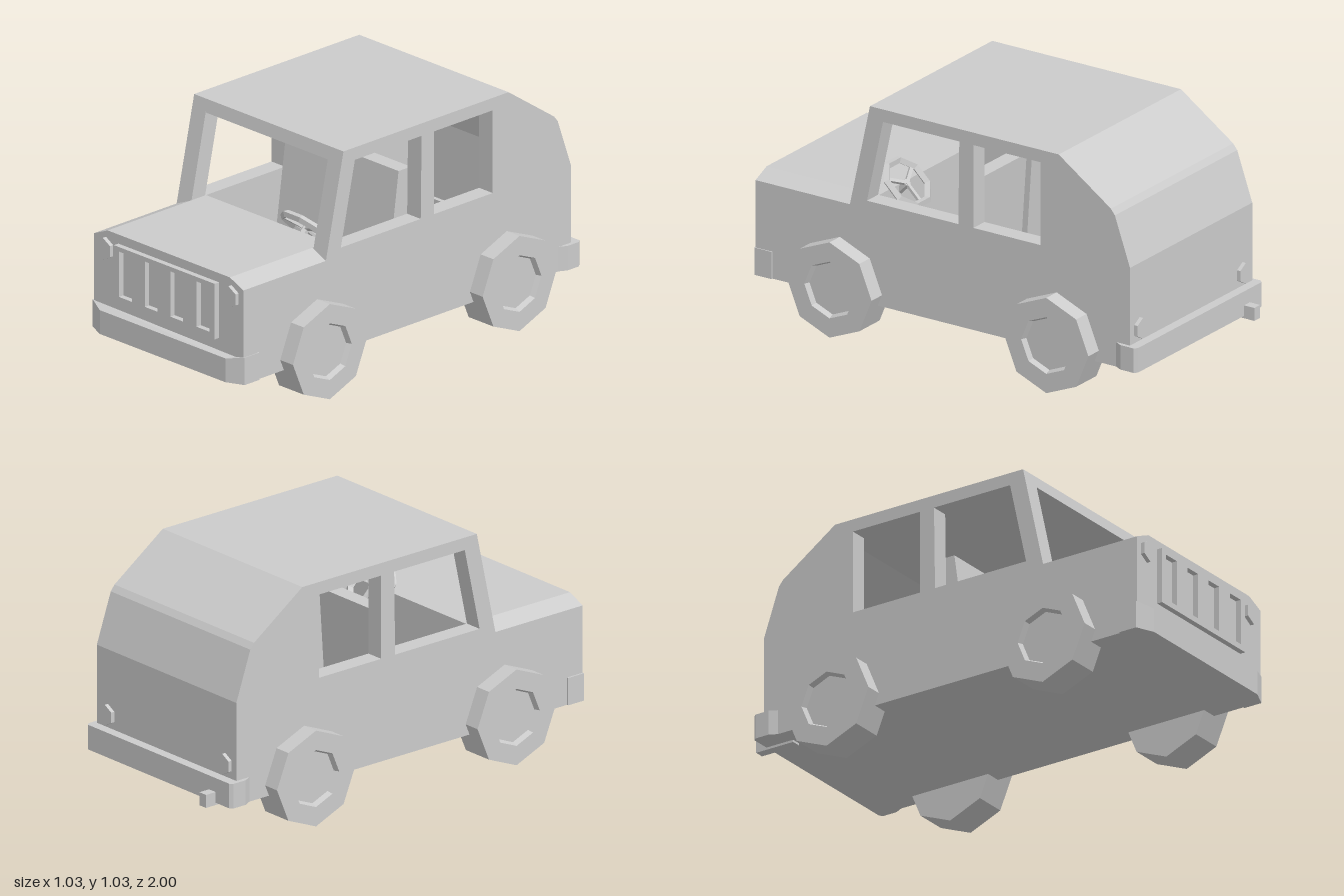
import * as THREE from 'three';

const grey = new THREE.MeshStandardMaterial({ color: 0xcccccc, flatShading: true });

export function createModel() {
  const model = new THREE.Group();
  model.name = 'offRoadCar';

  const add = (name, geometry, parent = model) => {
    const mesh = new THREE.Mesh(geometry, grey);
    mesh.name = name;
    parent.add(mesh);
    return mesh;
  };
  const box = (name, x0, x1, y0, y1, z0, z1) =>
    add(name, new THREE.BoxGeometry(x1 - x0, y1 - y0, z1 - z0)
      .translate((x0 + x1) / 2, (y0 + y1) / 2, (z0 + z1) / 2));
  const outline = (points, holes = []) => {
    const shape = new THREE.Shape(points.map(p => new THREE.Vector2(...p)));
    shape.holes = holes.map(h => new THREE.Path(h.map(p => new THREE.Vector2(...p))));
    return shape;
  };
  const extrude = (shape, depth) => new THREE.ExtrudeGeometry(shape, { depth, bevelEnabled: false });
  // Side profile given as (z, y), spanning x0..x1
  const acrossX = (shape, x0, x1) => extrude(shape, x1 - x0).rotateY(-Math.PI / 2).translate(x1, 0, 0);
  // Plan given as (x, z), spanning y0..y1
  const upY = (shape, y0, y1) => extrude(shape, y1 - y0).rotateX(Math.PI / 2).translate(0, y1, 0);
  const mirrored = half => [...half, ...half.map(([x, z]) => [-x, z]).reverse()];

  // Nose with chamfered bonnet edges, and the deck behind the windscreen
  add('nose', extrude(outline(mirrored([[0.44, 0.16], [0.44, 0.575], [0.36, 0.61]])), 0.47).translate(0, 0, 0.49));
  box('dashboard', -0.36, 0.36, 0.4, 0.61, 0.4, 0.49);

  // Cabin sides with two window openings each
  const rear = [[0.39, 1.03], [-0.55, 1.03], [-0.81, 0.85], [-0.83, 0.825], [-0.905, 0.61], [-0.905, 0.16]];
  const wall = outline([[0.49, 0.16], [0.49, 0.575], ...rear], [
    [[0.405, 0.61], [0.325, 0.975], [-0.055, 0.975], [-0.05, 0.61]],
    [[-0.125, 0.61], [-0.125, 0.975], [-0.46, 0.975], [-0.46, 0.61]],
  ]);
  add('leftCabinSide', acrossX(wall, 0.36, 0.44));
  add('rightCabinSide', acrossX(wall, -0.44, -0.36));

  // Roof, tail and floor as one folded shell between the sides
  add('roofTailAndFloor', acrossX(outline([...rear, [0.49, 0.16], [0.49, 0.2], [-0.855, 0.2],
    [-0.85, 0.61], [-0.78, 0.82], [-0.53, 0.975], [0.402, 0.975]]), -0.36, 0.36));

  // Front seats
  const seat = outline([[0.3, 0.2], [0.3, 0.38], [0.03, 0.36], [-0.03, 0.795],
    [-0.1, 0.795], [-0.06, 0.2]]);
  add('leftSeat', acrossX(seat, 0.02, 0.33));
  add('rightSeat', acrossX(seat, -0.33, -0.02));

  // Steering wheel, tilted towards the driver
  const steering = new THREE.Group();
  steering.name = 'steeringWheel';
  steering.position.set(0.2, 0.62, 0.37);
  steering.rotation.x = 0.8;
  model.add(steering);
  add('steeringRim', new THREE.TorusGeometry(0.11, 0.017, 4, 8).rotateZ(Math.PI / 8), steering);
  for (let i = 0; i < 3; i++) {
    const angle = Math.PI / 6 + i * Math.PI * 2 / 3;
    add('steeringSpoke', new THREE.BoxGeometry(0.1, 0.016, 0.012).translate(0.05, 0, 0.005).rotateZ(angle), steering);
  }
  add('steeringColumn', new THREE.CylinderGeometry(0.018, 0.018, 0.12, 6).rotateX(Math.PI / 2).translate(0, 0, 0.06), steering);

  // Grille with four slots
  const slots = [-0.23, -0.077, 0.073, 0.227].map(x =>
    [[x - 0.038, 0.35], [x - 0.038, 0.55], [x + 0.038, 0.55], [x + 0.038, 0.35]]);
  add('grille', extrude(outline([[-0.297, 0.325], [0.297, 0.325], [0.297, 0.57], [-0.297, 0.57]], slots), 0.025)
    .translate(0, 0, 0.96));

  // Six-sided lamps
  for (const [side, s] of [['left', 1], ['right', -1]]) {
    const lamp = (r, depth) => new THREE.CylinderGeometry(r, r, depth, 6).rotateX(Math.PI / 2);
    add(side + 'Headlight', lamp(0.049, 0.03).translate(s * 0.37, 0.53, 0.963));
    add(side + 'TailLight', lamp(0.046, 0.03).translate(s * 0.37, 0.325, -0.907));
  }

  // Bumpers; the front one slopes down along its leading edge
  const front = upY(outline(mirrored([[0.448, 0.875], [0.448, 0.96], [0.37, 0.995]])), 0.16, 0.28);
  const p = front.attributes.position;
  for (let i = 0; i < p.count; i++) {
    if (p.getY(i) > 0.2 && p.getZ(i) > 0.97) p.setY(i, 0.265);
  }
  add('frontBumper', front);
  add('rearBumper', upY(outline(mirrored([[0.44, -0.835], [0.458, -0.87], [0.458, -0.935], [0.445, -0.948]])), 0.16, 0.268));
  box('exhaust', -0.36, -0.318, 0.15, 0.207, -1, -0.815);

  // Eight-sided wheels with recessed hubs
  const profile = [[0, -0.073], [0.21, -0.073], [0.21, 0.073], [0.125, 0.073], [0.115, 0.05], [0, 0.05]]
    .map(q => new THREE.Vector2(...q));
  const wheel = new THREE.LatheGeometry(profile, 8);
  for (const [side, s] of [['Left', 1], ['Right', -1]]) {
    for (const [end, z] of [['front', 0.54], ['rear', -0.54]]) {
      const mesh = add(end + side + 'Wheel', wheel);
      mesh.rotation.z = -s * Math.PI / 2;
      mesh.position.set(s * 0.442, 0.21, z);
    }
  }
  return model;
}
